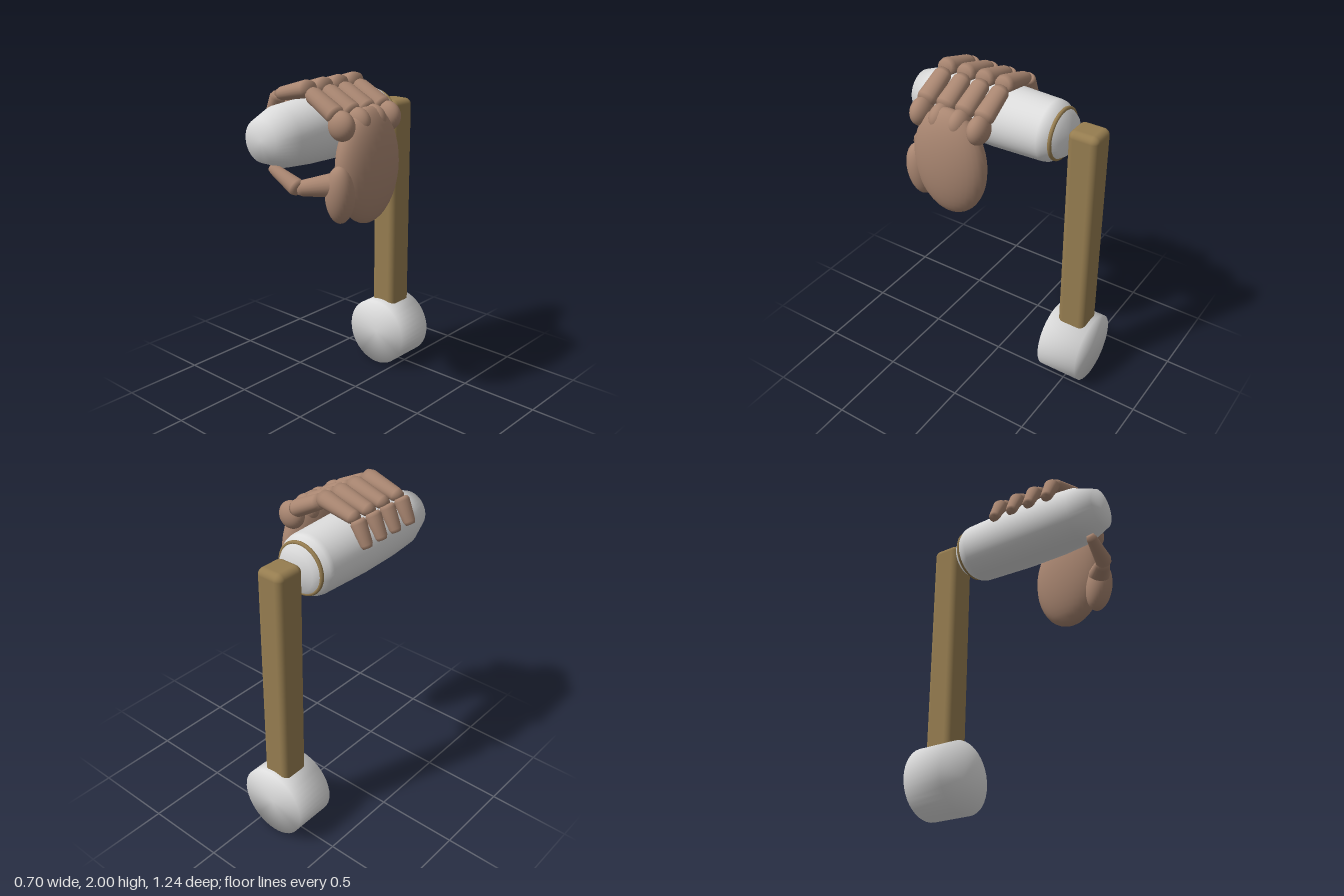
import * as THREE from 'three';
import { RoundedBoxGeometry } from 'three/addons/geometries/RoundedBoxGeometry.js';

const mat = (name, color) => new THREE.MeshStandardMaterial({ name, color });

export function createModel() {
  const model = new THREE.Group();
  model.name = 'handHoldingHandle';
  const white = mat('white', 0xdcdcdc);
  const brass = mat('brass', 0x967d50);
  const skin = mat('skin', 0xa98671);
  const AXIS_X = -0.13;
  const UP = new THREE.Vector3(0, 1, 0);

  const add = (parent, name, geometry, material, x = 0, y = 0, z = 0) => {
    const mesh = new THREE.Mesh(geometry, material);
    mesh.name = name;
    mesh.position.set(x, y, z);
    parent.add(mesh);
    return mesh;
  };
  const lathe = (points, sides) =>
    new THREE.LatheGeometry(points.map(([r, y]) => new THREE.Vector2(r, y)), sides);
  const ellipsoid = (parent, name, center, radii) =>
    add(parent, name, new THREE.SphereGeometry(1, 32, 20).scale(...radii), skin, ...center);

  // Tapered finger bone with softly chamfered ends, running from a to b
  const bone = (parent, name, a, b, r0, r1, widen = 1) => {
    const start = new THREE.Vector3(...a);
    const dir = new THREE.Vector3(...b).sub(start);
    const L = dir.length();
    const geometry = lathe([
      [0, 0], [r0 * 0.8, 0], [r0, L * 0.12], [r1, L * 0.88], [r1 * 0.75, L], [0, L],
    ], 20).scale(1, 1, widen);
    const mesh = add(parent, name, geometry, skin, ...a);
    mesh.quaternion.setFromUnitVectors(UP, dir.normalize());
  };

  // Grip, collar ring, upright bar and round foot
  const grip = lathe([
    [0, -0.38], [0.12, -0.38], [0.174, -0.3], [0.18, -0.27], [0.19, 0.05],
    [0.186, 0.3], [0.173, 0.48], [0.12, 0.62], [0, 0.62],
  ], 40).rotateX(Math.PI / 2);
  add(model, 'grip', grip, white, AXIS_X, 1.69, 0);
  add(model, 'collarRing', new THREE.TorusGeometry(0.146, 0.012, 12, 40), brass, AXIS_X, 1.69, -0.337);
  add(model, 'bar', new RoundedBoxGeometry(0.174, 1.42, 0.186, 4, 0.04), brass, AXIS_X, 1.06, -0.5);
  const foot = lathe([[0, -0.133], [0.22, -0.133], [0.22, 0.133], [0, 0.133]], 40).rotateX(Math.PI / 2);
  add(model, 'foot', foot, white, AXIS_X, 0.22, -0.487);

  // Palm and thumb
  const hand = new THREE.Group();
  hand.name = 'hand';
  model.add(hand);
  ellipsoid(hand, 'palm', [0.235, 1.53, 0.165], [0.115, 0.33, 0.237]);
  const thumbBase = ellipsoid(hand, 'thumbBase', [0.228, 1.405, 0.382], [0.085, 0.168, 0.08]);
  thumbBase.rotation.set(0.12, 0, -0.1);
  bone(hand, 'thumbLower', [0.215, 1.465, 0.39], [0.045, 1.437, 0.52], 0.066, 0.045);
  bone(hand, 'thumbUpper', [0.06, 1.437, 0.525], [-0.135, 1.53, 0.54], 0.05, 0.032);

  // Four fingers curled over the grip
  [-0.022, 0.105, 0.23, 0.36].forEach((z, i) => {
    const finger = new THREE.Group();
    finger.name = `finger${i + 1}`;
    finger.position.z = z;
    hand.add(finger);
    ellipsoid(finger, 'knuckle', [0.222, 1.78, 0], [0.083, 0.083, 0.06]);
    bone(finger, 'lowerBone', [0.195, 1.825, 0], [-0.005, 1.932, 0], 0.052, 0.046, 1.15);
    bone(finger, 'middleBone', [0, 1.957, 0], [-0.25, 1.895, 0], 0.05, 0.039, 1.15);
    bone(finger, 'fingertip', [-0.252, 1.895, 0], [-0.328, 1.755, 0], 0.043, 0.033, 1.15);
  });

  return model;
}
